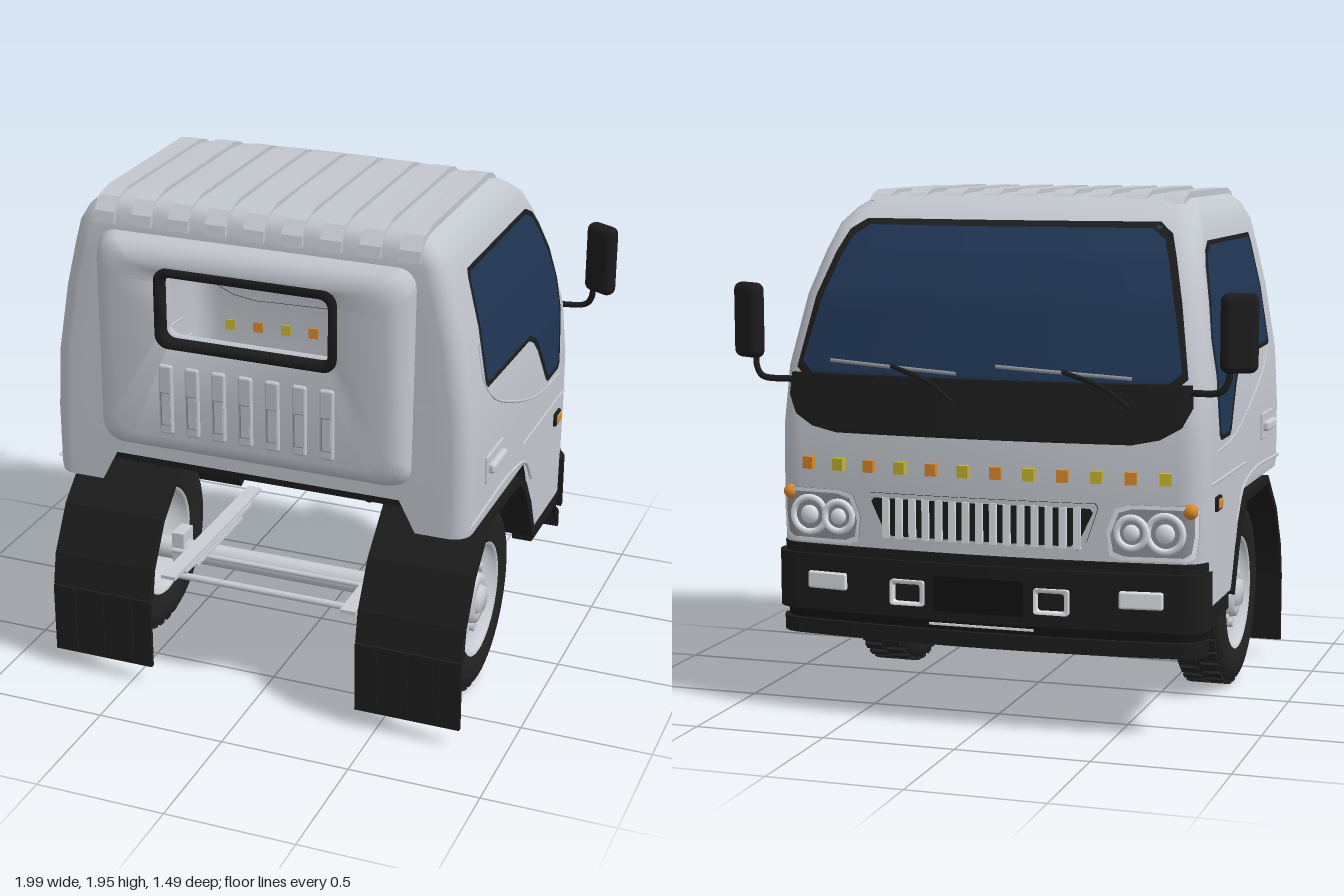
import * as THREE from 'three';
import { mergeGeometries } from 'three/addons/utils/BufferGeometryUtils.js';
import { RoundedBoxGeometry } from 'three/addons/geometries/RoundedBoxGeometry.js';

const mat = (name, color) => new THREE.MeshStandardMaterial({ name, color, side: THREE.DoubleSide });
const body = mat('body grey', 0xc3c7ce), black = mat('black plastic', 0x1c1c1d), glass = mat('navy glass', 0x1f3554),
  rubber = mat('tyre rubber', 0x222223), steel = mat('wheel steel', 0xc9cdd3), dark = mat('underbody', 0x121213),
  orange = mat('orange lamp', 0xd98a2c), yellow = mat('yellow lamp', 0xc4b52e), lens = mat('lens', 0xe2e5ea),
  housing = mat('lamp housing', 0x8d9299);

const V = (x, y, z) => new THREE.Vector3(x, y, z);
const lerp = THREE.MathUtils.lerp;

// cab levels: height, half width, front z, rear z
const LEVELS = [[0.47, 0.815, -0.7, 0.66], [0.85, 0.82, -0.705, 0.66], [1.08, 0.82, -0.7, 0.66], [1.3, 0.81, -0.665, 0.655],
  [1.56, 0.768, -0.58, 0.65], [1.72, 0.73, -0.485, 0.648], [1.82, 0.705, -0.4, 0.642], [1.88, 0.67, -0.3, 0.63],
  [1.915, 0.63, -0.22, 0.605], [1.93, 0.58, -0.13, 0.56]];
function section(y) {
  let i = 0;
  while (i < LEVELS.length - 2 && y > LEVELS[i + 1][0]) i++;
  const a = LEVELS[i], b = LEVELS[i + 1], t = (y - a[0]) / (b[0] - a[0]);
  return a.map((v, k) => lerp(v, b[k], t));
}
// bowed front with rounded corners
const R = 0.1, BOW = 0.045;
function curveZ(x, w, zf) {
  const e = Math.abs(x), c = w - R;
  if (e <= c) return zf + BOW * (e / c) ** 2;
  return zf + BOW + R - Math.sqrt(Math.max(0, R * R - (e - c) ** 2));
}
const frontZ = (x, y) => { const s = section(y); return curveZ(x, s[1], s[2]); };
const onFront = (x, y, off) => V(x, y, frontZ(x, y) - off);
const onSide = s => (z, y, off) => V(s * (section(y)[1] + off), y, z);

// skin between closed rings
function loft(rings, skip = () => false, closed = true) {
  const n = rings[0].length, pos = [], idx = [];
  rings.forEach(r => r.forEach(p => pos.push(p.x, p.y, p.z)));
  for (let i = 0; i < rings.length - 1; i++) for (let j = 0; j < (closed ? n : n - 1); j++) {
    const k = (j + 1) % n, a = i * n + j, b = i * n + k;
    if (skip(i, (rings[i][j].x + rings[i][k].x) / 2)) continue;
    idx.push(a, b, b + n, a, b + n, a + n);
  }
  const g = new THREE.BufferGeometry();
  g.setAttribute('position', new THREE.Float32BufferAttribute(pos, 3));
  g.setIndex(idx);
  g.computeVertexNormals();
  return g;
}
// surface-following plates from rows [y, start, end]
function fine(rows, k = 5) {
  const out = [];
  for (let i = 0; i < rows.length - 1; i++) for (let j = 0; j < k; j++) out.push(rows[i].map((v, q) => lerp(v, rows[i + 1][q], j / k)));
  out.push(rows[rows.length - 1]);
  return out;
}
const across = (r, map, off, n = 24) => Array.from({ length: n + 1 }, (_, j) => map(lerp(r[1], r[2], j / n), r[0], off));
const plate = (rows, map, off) => loft(fine(rows).map(r => across(r, map, off)), undefined, false);
function outline(rows, map, off) {
  const f = fine(rows), top = f[f.length - 1];
  return [...f.map(r => map(r[2], r[0], off)), ...across(top, map, off).reverse(),
    ...f.map(r => map(r[1], r[0], off)).reverse(), ...across(f[0], map, off)];
}
const inset = (rows, d, mid) => rows.map(([y, a, b]) => [y + (y < mid ? d : -d), a + d * Math.sign(b - a), b - d * Math.sign(b - a)]);
const sym = rows => rows.map(([y, h]) => [y, -h, h]);

// side profile (z, y) extruded across x
function sideExtrude(pts, width, xc) {
  const g = new THREE.ExtrudeGeometry(new THREE.Shape(pts.map(p => new THREE.Vector2(...p))), { depth: width, bevelEnabled: false });
  return g.rotateY(-Math.PI / 2).translate(xc + width / 2, 0, 0);
}
function ribbon(pts, t, width, xc) {
  const inner = pts.map((p, i) => {
    const a = pts[Math.max(0, i - 1)], b = pts[Math.min(pts.length - 1, i + 1)];
    const dx = b[0] - a[0], dy = b[1] - a[1], l = Math.hypot(dx, dy);
    return [p[0] + dy / l * -t, p[1] + dx / l * t];
  });
  return sideExtrude([...pts, ...inner.reverse()], width, xc);
}
function roundRect(hw, y0, y1, r, z) {
  const out = [], c = [[hw - r, y0 + r, -90], [hw - r, y1 - r, 0], [r - hw, y1 - r, 90], [r - hw, y0 + r, 180]];
  for (const [x, y, a] of c) for (let i = 0; i <= 6; i++) {
    const t = (a + i * 15) * Math.PI / 180;
    out.push(V(x + r * Math.cos(t), y + r * Math.sin(t), z));
  }
  return out;
}

export function createModel() {
  const root = new THREE.Group();
  root.name = 'truckCab';
  const add = (name, geo, m, x = 0, y = 0, z = 0, ry = 0) => {
    const o = new THREE.Mesh(geo, m);
    o.name = name; o.position.set(x, y, z); o.rotation.y = ry;
    root.add(o);
    return o;
  };
  const box = (name, w, h, d, m, x, y, z, ry = 0) => add(name, new THREE.BoxGeometry(w, h, d), m, x, y, z, ry);
  const tube = (name, pts, r, m) => add(name, new THREE.TubeGeometry(new THREE.CatmullRomCurve3(pts.map(p => V(...p))), 24, r, 8), m);

  // cab shell, open at the bottom, with wheel arches cut by raising the lower edge
  const lower = (x, z) => z > 0.6 && Math.abs(x) < 0.57 ? 0.94 : z > -0.05 ? 0.82 : z > -0.2 ? lerp(0.47, 0.81, (z + 0.2) / 0.15) : 0.47;
  const rings = LEVELS.map(([y, w, zf, zr]) => {
    const half = [], rr = 0.07, zc = zf + BOW + R;
    for (let i = 0; i <= 12; i++) half.push([(w - rr) * i / 12, zr]);
    for (let i = 1; i <= 5; i++) { const a = i * Math.PI / 10; half.push([w - rr + rr * Math.sin(a), zr - rr + rr * Math.cos(a)]); }
    for (let i = 1; i <= 40; i++) half.push([w, lerp(zr - rr, zc, i / 40)]);
    for (let i = 1; i <= 6; i++) { const a = i * Math.PI / 12; half.push([w - R + R * Math.cos(a), zc - R * Math.sin(a)]); }
    for (let i = 11; i >= 0; i--) { const x = (w - R) * i / 12; half.push([x, curveZ(x, w, zf)]); }
    const all = [...half, ...half.slice(1, -1).reverse().map(([x, z]) => [-x, z])];
    return all.map(([x, z]) => V(x, Math.max(y, lower(x, z)), z));
  });
  rings.push(rings[0].map(() => V(0, 1.935, 0.2)));
  add('cabShell', loft(rings, (i, x) => i >= 3 && i <= 4 && Math.abs(x) < 0.5), body);

  // roof ribs
  for (let k = -4; k <= 4; k++) {
    const e = Math.abs(k) === 4 ? 0.006 : 0;
    add('roofRib', sideExtrude([[-0.2, 1.9], [-0.16, 1.932 - e], [-0.1, 1.948 - e], [0.52, 1.948 - e], [0.6, 1.925], [0.645, 1.88],
      [0.655, 1.84], [0.6, 1.84]], 0.08, k * 0.145), body);
  }

  // raised rear panel with an open window and vents
  add('rearPanel', loft([roundRect(0.61, 0.99, 1.815, 0.07, 0.64), roundRect(0.595, 1.005, 1.8, 0.08, 0.69),
    roundRect(0.565, 1.03, 1.775, 0.09, 0.72), roundRect(0.52, 1.07, 1.74, 0.09, 0.732),
    roundRect(0.33, 1.445, 1.705, 0.04, 0.732), roundRect(0.33, 1.445, 1.705, 0.04, 0.64)]), body);
  add('rearWindowFrame', loft([0.725, 0.742].map(z => roundRect(0.348, 1.425, 1.728, 0.05, z)).concat(
    [0.742, 0.7].map(z => roundRect(0.318, 1.455, 1.698, 0.035, z)))), black);
  for (let k = -3; k <= 3; k++) {
    add('rearVent', new RoundedBoxGeometry(0.055, 0.27, 0.03, 2, 0.01), body, k * 0.104, 1.225, 0.73);
    box('rearVentRecess', 0.038, 0.13, 0.004, housing, k * 0.104, 1.19, 0.745);
    box('rearVentInset', 0.032, 0.122, 0.006, body, k * 0.104 + 0.003, 1.19, 0.745);
  }

  // windscreen and black panel below it
  const screen = sym([[1.26, 0.7], [1.3, 0.745], [1.56, 0.7], [1.72, 0.655], [1.8, 0.625], [1.84, 0.57]]);
  add('windscreen', plate(screen, onFront, 0.005), glass);
  add('windscreenSeal', loft([outline(screen, onFront, 0.008), outline(inset(screen, 0.022, 1.5), onFront, 0.008)]), black);
  const cowl = sym([[1.07, 0.56], [1.09, 0.66], [1.13, 0.73], [1.2, 0.765], [1.28, 0.76]]);
  add('cowlPanel', plate(cowl, onFront, 0.025), black);
  add('cowlRim', loft([outline(cowl, onFront, -0.005), outline(cowl, onFront, 0.025)]), black);
  for (const x of [0.6, -0.05]) {
    tube('wiperBlade', [0, 0.25, 0.5].map(d => onFront(x - d, 1.33 - d * 0.06, 0.022).toArray()), 0.007, housing);
    tube('wiperArm', [onFront(x - 0.25, 1.32, 0.03).toArray(), onFront(x - 0.4, 1.27, 0.04).toArray(), onFront(x - 0.5, 1.2, 0.035).toArray()], 0.009, black);
  }

  // row of marker lamps
  for (let i = 0; i < 12; i++) {
    const x = 0.68 - i * 0.1236;
    box('markerLamp', 0.042, 0.045, 0.03, i % 2 ? yellow : orange, x, 0.95, frontZ(x, 0.95) - 0.008, -x * 0.25);
  }

  // grille
  const grille = sym([[0.68, 0.36], [0.72, 0.4], [0.84, 0.44], [0.855, 0.43]]);
  add('grilleBack', plate(grille, onFront, 0.008), black);
  add('grilleSurround', loft([outline(grille, onFront, 0.016), outline(inset(grille, 0.018, 0.76), onFront, 0.016)]), body);
  for (let i = -7; i <= 7; i++) box('grilleBar', 0.026, 0.15, 0.02, lens, i * 0.052, 0.765, frontZ(i * 0.052, 0.76) - 0.012);

  // bumper following the front curve
  const slab = (name, y0, y1, w, zf, m) => {
    const pts = [];
    for (let i = 0; i <= 60; i++) { const x = -w * Math.cos(i / 60 * Math.PI); pts.push(new THREE.Vector2(x, curveZ(x, w, zf))); }
    pts.push(new THREE.Vector2(w, -0.575), new THREE.Vector2(-w, -0.575));
    add(name, new THREE.ExtrudeGeometry(new THREE.Shape(pts), { depth: y1 - y0, bevelEnabled: false }).rotateX(Math.PI / 2), m, 0, y1, 0);
  };
  slab('bumperTop', 0.61, 0.645, 0.815, -0.715, black);
  slab('bumper', 0.4, 0.61, 0.83, -0.73, black);
  slab('bumperWaist', 0.36, 0.4, 0.81, -0.7, dark);
  slab('bumperLip', 0.305, 0.36, 0.82, -0.72, black);
  box('bumperStrip', 0.4, 0.008, 0.008, lens, 0, 0.38, -0.703);
  box('bumperPlate', 0.34, 0.13, 0.008, dark, 0, 0.5, -0.733);

  const wheelArch = [[0.41, 0.81], [0.03, 0.8], [-0.06, 0.74], [-0.14, 0.62], [-0.21, 0.46]];
  const sideWindow = [[1.065, -0.3, -0.44], [1.085, -0.275, -0.46], [1.16, -0.225, -0.468], [1.24, -0.17, -0.475], [1.29, -0.12, -0.478],
    [1.32, -0.06, -0.479], [1.332, 0.44, -0.479], [1.345, 0.455, -0.479], [1.43, 0.455, -0.478], [1.56, 0.455, -0.43], [1.68, 0.455, -0.365],
    [1.74, 0.455, -0.315], [1.77, 0.445, -0.25]];

  for (const s of [1, -1]) {
    const side = onSide(s);
    // side glass, door creases, handle and indicator
    add('sideWindow', plate(sideWindow, side, 0.004), glass);
    add('sideWindowSeal', loft([outline(sideWindow, side, 0.007), outline(inset(sideWindow, 0.016, 1.5), side, 0.007)]), black);
    tube('doorCrease', [[0.465, 1.5], [0.46, 1.36], [0.38, 1.27], [0.1, 1.14], [-0.2, 1.05], [-0.48, 1.025]].map(([z, y]) => side(z, y, 0).toArray()), 0.005, body);
    tube('lowerCrease', [[0.0, 0.92], [-0.3, 0.92], [-0.57, 0.92]].map(([z, y]) => side(z, y, 0).toArray()), 0.006, body);
    tube('sillCrease', [[0.62, 0.865], [0.15, 0.87], [-0.05, 0.825], [-0.14, 0.72]].map(([z, y]) => side(z, y, 0).toArray()), 0.007, body);
    add('handleRecess', new RoundedBoxGeometry(0.012, 0.105, 0.2, 2, 0.005), body, s * 0.822, 1.02, 0.375);
    add('doorHandle', new RoundedBoxGeometry(0.03, 0.04, 0.16, 2, 0.012), steel, s * 0.835, 1.02, 0.375);
    add('indicatorFrame', new RoundedBoxGeometry(0.02, 0.055, 0.075, 2, 0.008), black, s * 0.822, 0.84, -0.47);
    add('sideIndicator', new RoundedBoxGeometry(0.02, 0.038, 0.055, 2, 0.008), orange, s * 0.828, 0.84, -0.47);

    // headlamp
    const lamp = [[0.655, 0.52, 0.76], [0.67, 0.48, 0.785], [0.76, 0.47, 0.795], [0.84, 0.5, 0.795], [0.855, 0.55, 0.78]].map(([y, a, b]) => [y, s * a, s * b]);
    add('headlampHousing', plate(lamp, onFront, 0.006), housing);
    add('headlampTrim', loft([outline(lamp, onFront, 0.012), outline(inset(lamp, 0.014, 0.76), onFront, 0.012)]), lens);
    for (const [x, r] of [[0.56, 0.055], [0.68, 0.065]]) {
      const z = frontZ(x, 0.755) - 0.012;
      add('lampRing', new THREE.TorusGeometry(r, 0.012, 8, 28), lens, s * x, 0.755, z);
      add('lampBulb', new THREE.SphereGeometry(r * 0.55, 16, 10).scale(1, 1, 0.5), lens, s * x, 0.755, z);
    }
    add('cornerIndicator', new THREE.SphereGeometry(0.028, 14, 10), orange, s * 0.765, 0.835, frontZ(0.765, 0.83));

    // bumper openings and fog lamps
    add('towOpening', loft([[0.066, 0.047, -0.738], [0.05, 0.033, -0.738], [0.05, 0.033, -0.56], [0.066, 0.047, -0.56], [0.066, 0.047, -0.738]]
      .map(([w, h, z]) => roundRect(w, 0.495 - h, 0.495 + h, 0.01, z))).translate(s * 0.275, 0, 0), lens);
    add('fogLamp', new RoundedBoxGeometry(0.16, 0.065, 0.02, 3, 0.009), lens, s * 0.6, 0.515, curveZ(0.6, 0.83, -0.73) - 0.002, -s * 0.11);
    box('sideSkirt', 0.08, 0.065, 0.36, black, s * 0.77, 0.435, -0.4);

    // mirror on its bent arm
    add('mirror', new RoundedBoxGeometry(0.135, 0.28, 0.065, 4, 0.03), black, s * 0.93, 1.47, -0.635, -0.5 * s);
    tube('mirrorArm', [[s * 0.9, 1.37, -0.64], [s * 0.895, 1.3, -0.65], [s * 0.87, 1.265, -0.655], [s * 0.76, 1.255, -0.64]], 0.012, black);

    // fender, mud flap and arch liner
    add('archLiner', ribbon(wheelArch, 0.035, 0.4, s * 0.625), black);
    add('rearFender', ribbon([[0.715, 0.36], [0.69, 0.48], [0.59, 0.65], [0.41, 0.81]], 0.03, 0.41, s * 0.622), black);
    box('mudFlap', 0.41, 0.28, 0.018, black, s * 0.622, 0.215, 0.71);
    for (const x of [0.5, 0.62, 0.74]) box('flapRib', 0.012, 0.27, 0.012, black, s * x, 0.215, 0.72);
    add('wellWall', sideExtrude([...wheelArch, [-0.55, 0.5], [-0.55, 0.88], [0.6, 0.88]], 0.015, s * 0.42), dark);

    // wheel
    const wheel = new THREE.Group();
    wheel.name = 'wheel';
    wheel.position.set(s * 0.655, 0.365, 0.24);
    const part = (name, g, m) => { const o = new THREE.Mesh(g, m); o.name = name; wheel.add(o); };
    const lathe = pts => new THREE.LatheGeometry(pts.map(p => new THREE.Vector2(...p)), 48).rotateZ(-s * Math.PI / 2);
    part('tyre', lathe([[0.215, -0.08], [0.23, -0.095], [0.3, -0.1], [0.335, -0.092], [0.352, -0.07], [0.354, 0], [0.352, 0.07], [0.335, 0.092], [0.3, 0.1], [0.23, 0.095], [0.215, 0.08]]), rubber);
    part('rim', lathe([[0.222, 0.092], [0.205, 0.088], [0.195, 0.055], [0.12, 0.045], [0.1, 0.052], [0.095, 0.085], [0.065, 0.09], [0.055, 0.075], [0.05, 0.105], [0, 0.108]]), steel);
    part('rimBack', lathe([[0.222, -0.085], [0.2, -0.08], [0.19, 0.02], [0, 0.02]]), steel);
    const nuts = [], lugs = [];
    for (let i = 0; i < 8; i++) {
      const a = i * Math.PI / 4;
      nuts.push(new THREE.CylinderGeometry(0.017, 0.019, 0.03, 10).rotateZ(Math.PI / 2).translate(s * 0.058, 0.125 * Math.sin(a), 0.125 * Math.cos(a)));
    }
    for (let i = 0; i < 36; i++) for (const q of [-1, 1])
      lugs.push(new THREE.BoxGeometry(0.07, 0.014, 0.036).translate(q * 0.042, 0.355, 0).rotateX((i + q * 0.25) * Math.PI / 18));
    part('wheelNuts', mergeGeometries(nuts), steel);
    part('tread', mergeGeometries(lugs), rubber);
    root.add(wheel);

    // leaf springs
    for (let i = 0; i < 3; i++) box('leafSpring', 0.06, 0.014, 0.84 - i * 0.2, steel, s * 0.365, 0.445 - i * 0.02, 0.24);
    box('springMount', 0.05, 0.14, 0.09, steel, s * 0.5, 0.36, 0.24);
  }

  // underside and axle
  add('floor', ribbon([[0.64, 0.93], [0.2, 0.9], [-0.1, 0.82], [-0.35, 0.7], [-0.6, 0.65]], 0.02, 0.84, 0), dark);
  for (const s of [1, -1]) box('sideFloor', 0.38, 0.02, 0.37, dark, s * 0.61, 0.48, -0.4);
  box('rearSill', 1.16, 0.03, 0.06, black, 0, 0.925, 0.62);
  box('crossMember', 0.78, 0.02, 0.03, steel, 0, 0.665, -0.5);
  const bar = (name, r, w, y, z) => add(name, new THREE.CylinderGeometry(r, r, w, 20).rotateZ(Math.PI / 2), steel, 0, y, z);
  bar('axle', 0.045, 1.2, 0.34, 0.24);
  bar('tieRod', 0.014, 1.05, 0.29, 0.36);
  bar('steeringRod', 0.01, 1.0, 0.38, 0.33);
  return root;
}
